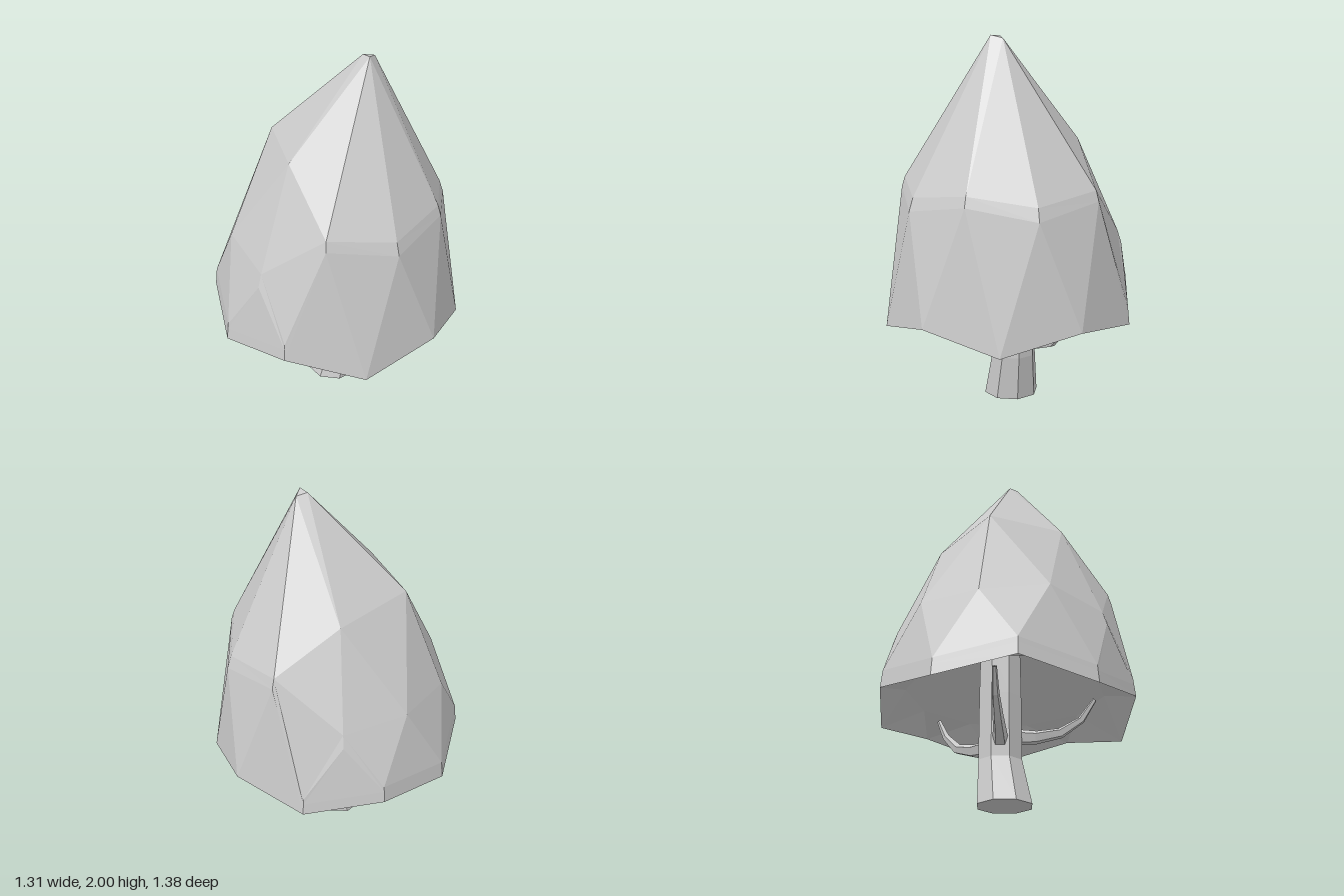
import * as THREE from 'three';

const material = new THREE.MeshStandardMaterial({ color: 0xcccccc, flatShading: true, side: THREE.DoubleSide });

// point at an angle (degrees, from +x towards +z), radius and height
const polar = (deg, r, y) => {
  const a = THREE.MathUtils.degToRad(deg);
  return new THREE.Vector3(r * Math.cos(a), y, r * Math.sin(a));
};

function meshFromTriangles(name, tris) {
  const geo = new THREE.BufferGeometry().setFromPoints(tris.flat());
  geo.computeVertexNormals();
  const mesh = new THREE.Mesh(geo, material);
  mesh.name = name;
  return mesh;
}

// two triangles between an upper and a lower edge
const quad = (u0, u1, l0, l1) => [[u0, u1, l0], [u1, l1, l0]];

function createCanopy() {
  const group = new THREE.Group();
  group.name = 'canopy';

  // faceted dome: leaning tip, five shoulder points, ten waist points, ten rim points
  const tip = new THREE.Vector3(0.12, 1.995, 0.08);
  const shoulder = [
    new THREE.Vector3(0.18, 1.985, 0.08),
    new THREE.Vector3(0.14, 2, 0.135),
    polar(144, 0.36, 1.5),
    polar(216, 0.37, 1.5),
    polar(288, 0.365, 1.45),
  ];
  const waistY = [1.18, 1.23, 1.18, 1.23, 0.95, 1.0, 0.95, 0.97, 0.95, 1.23];
  const rimY = [0.44, 0.54, 0.44, 0.54, 0.47, 0.55, 0.48, 0.545, 0.48, 0.54];
  const waist = waistY.map((y, k) => polar(36 * k, k % 2 ? 0.575 : 0.587, y));
  const rim = rimY.map((y, k) => polar(18 + 36 * k, 0.69, y));
  const capRim = rimY.map((y, k) => polar(18 + 36 * k, 0.68, y + 0.095));
  const skirtWaist = waistY.map((y, k) => polar(36 * k, k % 2 ? 0.592 : 0.61, y - (k % 2 ? 0.055 : 0.07)));
  const skirtRim = rimY.map((y, k) => polar(18 + 36 * k, 0.683, y + 0.065));
  const notches = [3, 7]; // places where the skirt rises in a peak at the sides

  // cap: covers the top and hangs low at the back
  const cap = [];
  for (let i = 0; i < 5; i++) {
    const j = (i + 1) % 5, a = waist[2 * i], b = waist[2 * i + 1], c = waist[(2 * i + 2) % 10];
    cap.push([tip, shoulder[j], shoulder[i]], [shoulder[i], b, a],
      [shoulder[i], shoulder[j], b], [shoulder[j], c, b]);
  }
  for (let k = 3; k < 9; k++) {
    cap.push([waist[k], waist[k + 1], capRim[k]]);
    if (k < 8 && !notches.includes(k)) cap.push([waist[k + 1], capRim[k + 1], capRim[k]]);
  }
  group.add(meshFromTriangles('cap', cap));

  // ledge: narrow step between the cap's edge and the skirt
  const edge = (w, r) => [w[9], w[0], w[1], w[2], w[3], r[3], w[4], r[4], r[5], r[6], r[7], w[8], r[8]];
  const upper = edge(waist, capRim), lower = edge(skirtWaist, skirtRim);
  const ledge = upper.flatMap((p, i) => {
    const j = (i + 1) % upper.length;
    return quad(p, upper[j], lower[i], lower[j]);
  });
  group.add(meshFromTriangles('ledge', ledge));

  // skirt: tall in front, a narrow band at the back
  const skirt = [];
  for (const k of [9, 0, 1, 2]) {
    const n = (k + 1) % 10;
    skirt.push([skirtWaist[k], skirtWaist[n], rim[k]], [skirtWaist[n], rim[n], rim[k]]);
  }
  skirt.push([skirtWaist[9], rim[9], rim[8]], [skirtRim[8], skirtWaist[9], rim[8]],
    [skirtWaist[3], skirtRim[3], rim[3]]);
  for (let k = 3; k < 8; k++) skirt.push(...quad(skirtRim[k], skirtRim[k + 1], rim[k], rim[k + 1]));
  for (const k of notches) skirt.push([skirtWaist[k + 1], skirtRim[k + 1], skirtRim[k]]);
  group.add(meshFromTriangles('skirt', skirt));

  // hollow underside
  const hollow = [];
  const inner = rimY.map((y, k) => polar(36 * k, 0.53, 0.62));
  const top = new THREE.Vector3(0, 0.9, 0);
  for (let k = 0; k < 10; k++) {
    const n = (k + 1) % 10;
    hollow.push([top, inner[k], inner[n]], [inner[k], rim[k], inner[n]], [inner[n], rim[k], rim[n]]);
  }
  group.add(meshFromTriangles('underside', hollow));
  return group;
}

// eight-sided trunk that leans at the foot and then stands straight
function createTrunk() {
  const sections = [[-0.01, 0, 0.15], [0.05, 0.25, 0.122], [0.05, 0.6, 0.12], [0.05, 0.87, 0.115]];
  const rings = sections.map(([x, y, r]) =>
    Array.from({ length: 8 }, (_, k) => polar(45 * k, r, y).add(new THREE.Vector3(x, 0, -0.01))));
  const tris = [];
  for (let s = 0; s < 3; s++)
    for (let k = 0; k < 8; k++) {
      const n = (k + 1) % 8;
      tris.push(...quad(rings[s + 1][k], rings[s + 1][n], rings[s][k], rings[s][n]));
    }
  const foot = new THREE.Vector3(-0.01, 0, -0.01);
  for (let k = 0; k < 8; k++) tris.push([foot, rings[0][k], rings[0][(k + 1) % 8]]);
  return meshFromTriangles('trunk', tris);
}

// five-sided branch that narrows along its path
function createBranch(points) {
  const curve = new THREE.CatmullRomCurve3(points.map(p => new THREE.Vector3(...p)));
  const steps = 4, sides = 5;
  const geo = new THREE.TubeGeometry(curve, steps, 1, sides);
  const pos = geo.attributes.position, v = new THREE.Vector3();
  for (let i = 0; i < pos.count; i++) {
    const t = Math.floor(i / (sides + 1)) / steps;
    const c = curve.getPointAt(t);
    v.fromBufferAttribute(pos, i).sub(c).multiplyScalar(0.045 - 0.033 * t).add(c);
    pos.setXYZ(i, v.x, v.y, v.z);
  }
  geo.computeVertexNormals();
  const mesh = new THREE.Mesh(geo, material);
  mesh.name = 'branch';
  return mesh;
}

export function createModel() {
  const model = new THREE.Group();
  model.name = 'tree';
  model.add(createCanopy(), createTrunk());
  model.add(
    createBranch([[0, 0.34, -0.03], [-0.2, 0.36, -0.12], [-0.33, 0.43, -0.19], [-0.43, 0.57, -0.24]]),
    createBranch([[0.1, 0.34, -0.05], [0.27, 0.36, -0.13], [0.36, 0.43, -0.18], [0.43, 0.57, -0.22]]),
    createBranch([[0.03, 0.39, 0.05], [-0.08, 0.38, 0.21], [-0.15, 0.44, 0.34], [-0.21, 0.57, 0.42]]),
  );
  return model;
}
